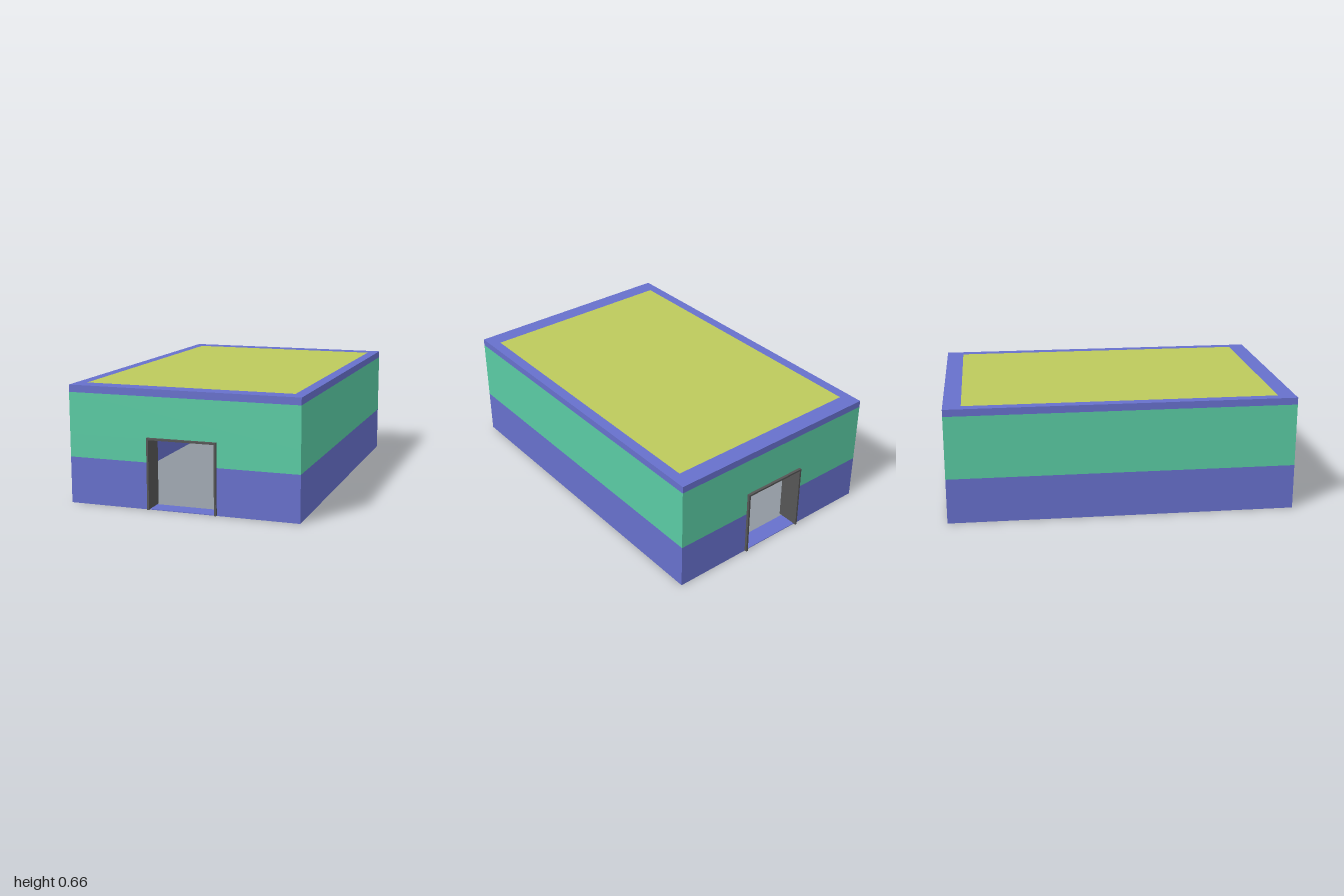
import * as THREE from 'three';

const W = 0.655, D = 0.985;     // outer half width and half depth
const IW = 0.595, ID = 0.885;   // inner half width and half depth
const DOOR = 0.19;              // half width of the wall opening
const FLOOR = 0.004, BASE = 0.26, HEAD = 0.39, BAND = 0.62, TOP = 0.66;

const BLUE = 0x6770cc, GREEN = 0x5acba4, OLIVE = 0xbdca5c, GREY = 0x8f979f, DARK = 0x555555;

export function createModel() {
  const model = new THREE.Group();
  const mat = (color) => new THREE.MeshStandardMaterial({ color });
  const mats = { blue: mat(BLUE), green: mat(GREEN), olive: mat(OLIVE), grey: mat(GREY), dark: mat(DARK) };

  const add = (name, geometry, material, parent = model) => {
    const mesh = new THREE.Mesh(geometry, material);
    mesh.name = name;
    parent.add(mesh);
    return mesh;
  };
  const toShape = (pts) => new THREE.Shape(pts.map(([x, y]) => new THREE.Vector2(x, y)));
  const rect = (w, d) => [[-w, -d], [w, -d], [w, d], [-w, d]];

  // Extrudes a floor plan upwards from y0 to y1
  const raise = (shape, y0, y1) =>
    new THREE.ExtrudeGeometry(shape, { depth: y1 - y0, bevelEnabled: false })
      .rotateX(-Math.PI / 2).translate(0, y0, 0);

  const ring = toShape(rect(W, D));
  ring.holes.push(toShape(rect(IW, ID)));

  // C-shaped half of the wall plan, open at both doorways
  const half = (s) => toShape([[DOOR, -D], [W, -D], [W, D], [DOOR, D], [DOOR, ID], [IW, ID], [IW, -ID], [DOOR, -ID]]
    .map(([x, z]) => [s * x, z]));

  // Walls in coloured bands
  add('wallFooting', raise(ring, 0, FLOOR), mats.blue);
  for (const [side, s] of [['left', 1], ['right', -1]]) {
    add(side + 'LowerWall', raise(half(s), FLOOR, BASE), mats.blue);
    add(side + 'MiddleWall', raise(half(s), BASE, HEAD), mats.green);
  }
  add('upperWall', raise(ring, HEAD, BAND), mats.green);
  add('roofRim', raise(ring, BAND, TOP), mats.blue);

  // Floor and flush roof panel
  add('floor', raise(toShape(rect(IW, ID)), 0, FLOOR), mats.grey);
  add('roofPanel', raise(toShape(rect(IW, ID)), BAND, TOP), mats.olive);

  // Door frames lining both openings, slightly proud of the wall
  const frameShape = toShape([[-0.197, 0.002], [-0.197, 0.397], [0.197, 0.397], [0.197, 0.002],
    [0.186, 0.002], [0.186, 0.386], [-0.186, 0.386], [-0.186, 0.002]]);
  const frameGeometry = new THREE.ExtrudeGeometry(frameShape, { depth: 0.13, bevelEnabled: false });
  add('frontDoorFrame', frameGeometry, mats.dark).position.z = 0.87;
  add('backDoorFrame', frameGeometry, mats.dark).position.z = -1;

  return model;
}
